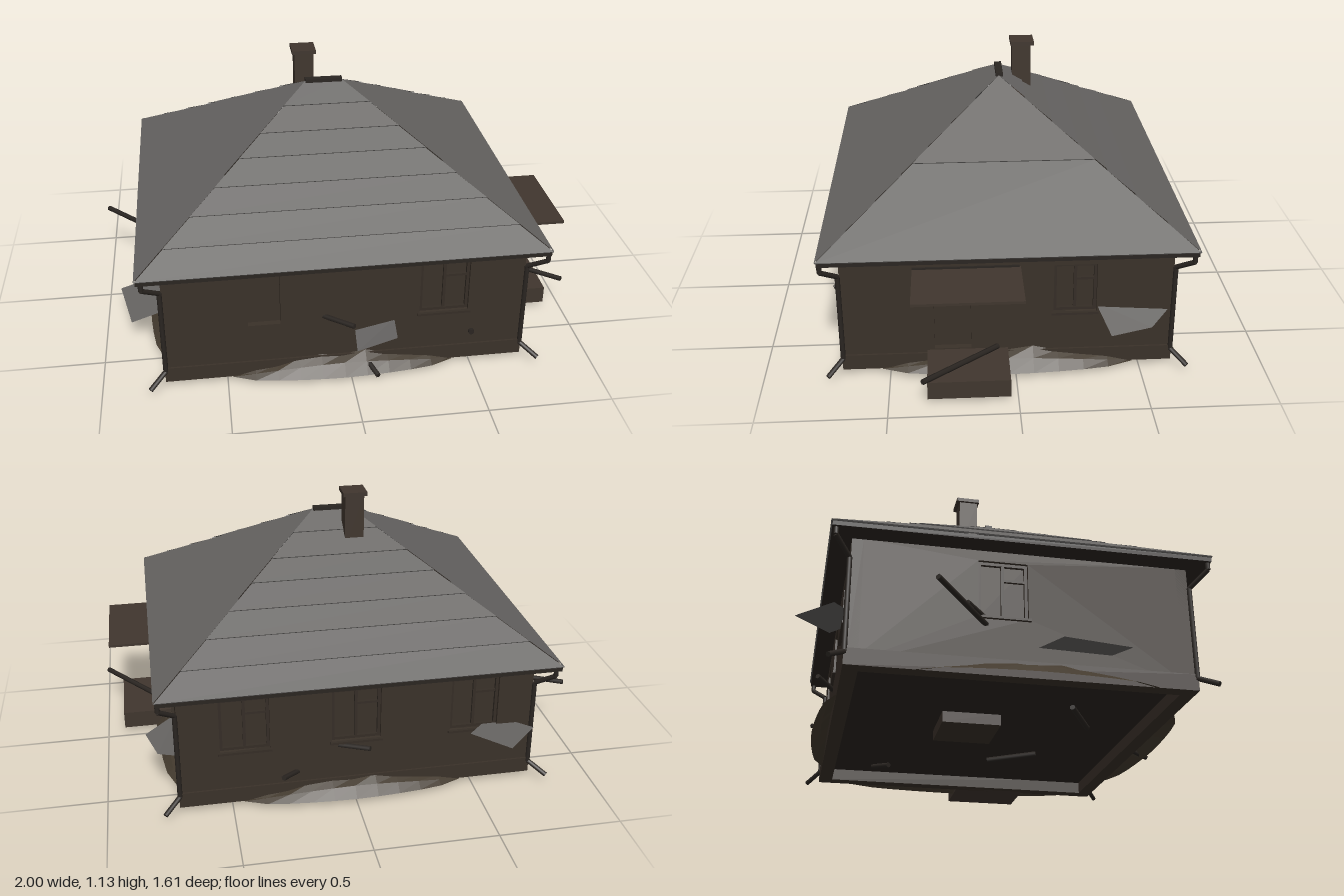
import * as THREE from 'three';

const mat = (name, color, extra = {}) => {
  const m = new THREE.MeshStandardMaterial({ color, ...extra });
  m.name = name;
  return m;
};
const V = (x, y, z) => new THREE.Vector3(x, y, z);

export function createModel() {
  const root = new THREE.Group();
  root.name = 'oldHouse';
  const wallMat = mat('wall', 0x3a3129);
  const trimMat = mat('trim', 0x352d26);
  const darkMat = mat('darkWood', 0x2a2521);
  const canopyMat = mat('canopyBoard', 0x40362e);
  const earthMat = mat('earth', 0x433a2e, { side: THREE.DoubleSide, flatShading: true });
  const roofMat = mat('roofSheet', 0x666462, { side: THREE.DoubleSide, flatShading: true });

  const add = (parent, name, geo, m) => {
    const mesh = new THREE.Mesh(geo, m);
    mesh.name = name;
    parent.add(mesh);
    return mesh;
  };
  // Box given by its minimum and maximum corners
  const box = (parent, name, m, a, b) =>
    add(parent, name, new THREE.BoxGeometry(b[0] - a[0], b[1] - a[1], b[2] - a[2]), m)
      .position.set((a[0] + b[0]) / 2, (a[1] + b[1]) / 2, (a[2] + b[2]) / 2);
  // Straight bar between two points
  const bar = (name, m, a, b, r, sides = 6) => {
    const p = V(...a), q = V(...b), d = q.clone().sub(p);
    const mesh = add(root, name, new THREE.CylinderGeometry(r, r, d.length(), sides), m);
    mesh.position.copy(p).add(q).multiplyScalar(0.5);
    mesh.quaternion.setFromUnitVectors(V(0, 1, 0), d.normalize());
  };
  // Quads, each a list of four corners
  const quads = (list) => {
    const pos = [];
    for (const [a, b, c, d] of list)
      for (const p of [a, b, c, a, c, d]) pos.push(p.x, p.y, p.z);
    const g = new THREE.BufferGeometry();
    g.setAttribute('position', new THREE.Float32BufferAttribute(pos, 3));
    g.computeVertexNormals();
    return g;
  };

  const base = 0.025, top = 0.54, cx = -0.0175, cz = 0.03, halfX = 0.7225, halfZ = 0.65;

  // Heap of soil leaning on a wall
  const mound = (parent, u, half, h) => {
    const n = 10, list = [], row = (i) => {
      const t = (i / n) * 2 - 1, f = 1 - Math.pow(Math.abs(t), 1.6);
      const wob = 1 + 0.15 * Math.sin(i * 2.3);
      const x = u + t * half;
      return [V(x, base + h * f * wob, 0), V(x, base + h * f * 0.65, 0.04 * Math.sqrt(f)),
        V(x, base, 0.012 + 0.066 * Math.sqrt(f))];
    };
    for (let i = 0; i < n; i++) {
      const p = row(i), q = row(i + 1);
      for (let k = 0; k < 2; k++) list.push([p[k + 1], q[k + 1], q[k], p[k]]);
    }
    add(parent, 'earthMound', quads(list), earthMat);
  };

  // A wall with openings [u, width, y0, y1, kind], seen from outside
  const wall = (name, half, pos, angle, openings, heap) => {
    const g = new THREE.Group();
    g.name = name;
    g.position.set(...pos);
    g.rotation.y = angle;
    root.add(g);
    const s = new THREE.Shape([[-half, base], [half, base], [half, top], [-half, top]]
      .map((p) => new THREE.Vector2(...p)));
    for (const [u, w, y0, y1, kind] of openings) {
      const l = u - w / 2, r = u + w / 2;
      s.holes.push(new THREE.Path([[l, y0], [l, y1], [r, y1], [r, y0]]
        .map((p) => new THREE.Vector2(...p))));
      box(g, kind === 'door' ? 'doorLeaf' : 'windowPane', wallMat, [l, y0, -0.045], [r, y1, -0.025]);
      if (kind !== 'window') continue;
      const t = 0.012;
      box(g, 'frameLeft', trimMat, [l, y0, -0.03], [l + t, y1, -0.012]);
      box(g, 'frameRight', trimMat, [r - t, y0, -0.03], [r, y1, -0.012]);
      box(g, 'frameTop', trimMat, [l, y1 - t, -0.03], [r, y1, -0.012]);
      box(g, 'frameBottom', trimMat, [l, y0, -0.03], [r, y0 + t, -0.012]);
      box(g, 'mullion', trimMat, [u - t / 2, y0, -0.03], [u + t / 2, y1, -0.014]);
      box(g, 'transom', trimMat, [u, y1 - 0.075, -0.03], [r, y1 - 0.065, -0.014]);
      box(g, 'sill', trimMat, [l - 0.008, y0 - 0.01, -0.02], [r + 0.008, y0, 0.012]);
    }
    const geo = new THREE.ExtrudeGeometry(s, { depth: 0.045, bevelEnabled: false });
    geo.translate(0, 0, -0.045);
    add(g, 'wallPanel', geo, wallMat);
    box(g, 'plinth', wallMat, [-half - 0.008, base, -0.05], [half + 0.008, 0.09, 0.008]);
    mound(g, ...heap);
  };
  wall('frontWall', halfX, [cx, 0, cz + halfZ], 0,
    [[-0.328, 0.13, 0.26, 0.49, 'boarded'], [0.398, 0.2, 0.26, 0.49, 'window']], [-0.01, 0.45, 0.07]);
  wall('rightWall', halfZ, [cx + halfX, 0, cz], Math.PI / 2,
    [[-0.218, 0.145, 0.105, 0.41, 'door'], [0.265, 0.17, 0.26, 0.47, 'window']], [0.0, 0.5, 0.075]);
  wall('backWall', halfX, [cx, 0, cz - halfZ], Math.PI,
    [-0.46, -0.01, 0.48].map((u) => [u, 0.2, 0.26, 0.49, 'window']), [-0.02, 0.45, 0.06]);
  wall('leftWall', halfZ, [cx - halfX, 0, cz], -Math.PI / 2,
    [[-0.08, 0.19, 0.26, 0.49, 'window']], [0.05, 0.45, 0.06]);

  // Floor and stove footing under the house
  box(root, 'floor', darkMat, [-0.72, 0.075, -0.6], [0.69, 0.085, 0.66]);
  box(root, 'stoveFooting', wallMat, [-0.22, 0.03, -0.19], [0.02, 0.08, 0.05]);

  // Hipped roof laid in overlapping courses
  const e = { l: -0.83, r: 0.785, f: 0.755, b: -0.7, y: 0.55 };
  const fl = V(e.l, e.y, e.f), fr = V(e.r, e.y, e.f), bl = V(e.l, e.y, e.b), br = V(e.r, e.y, e.b);
  const rl = V(-0.1, 1.02, 0.03), rr = V(0.055, 1.02, 0.03);
  const slope = (name, a, b, c, d, steps) => {
    const n = b.clone().sub(a).cross(d.clone().sub(a)).normalize().multiplyScalar(0.005);
    const list = [];
    for (let i = 0; i < steps.length - 1; i++) {
      const at = (p, q, t) => p.clone().lerp(q, t);
      const a0 = at(a, d, steps[i]), b0 = at(b, c, steps[i]);
      const a1 = a0.clone().add(n), b1 = b0.clone().add(n);
      list.push([a0, b0, b1, a1], [a1, b1, at(b, c, steps[i + 1]), at(a, d, steps[i + 1])]);
    }
    add(root, name, quads(list), roofMat);
  };
  const courses = [0, 0.15, 0.3, 0.44, 0.585, 0.715, 0.86, 1];
  slope('frontRoof', fl, fr, rr, rl, courses);
  slope('backRoof', br, bl, rl, rr, courses);
  slope('rightRoof', fr, br, rr, rr, [0, 0.5, 1]);
  slope('leftRoof', bl, fl, rl, rl, [0, 0.5, 1]);
  box(root, 'eavesBoard', darkMat, [e.l + 0.003, 0.532, e.b + 0.003], [e.r - 0.003, 0.549, e.f - 0.003]);
  box(root, 'ridgeCap', darkMat, [-0.1, 1.015, 0.013], [0.055, 1.03, 0.043]);

  // Chimney
  box(root, 'chimneyStack', canopyMat, [-0.137, 0.88, -0.112], [-0.057, 1.118, -0.033]);
  box(root, 'chimneyCap', canopyMat, [-0.148, 1.116, -0.125], [-0.047, 1.132, -0.025]);

  // Entrance canopy and step
  box(root, 'doorCanopy', canopyMat, [0.69, 0.46, -0.02], [0.96, 0.471, 0.4]);
  box(root, 'doorStep', canopyMat, [0.69, base, 0.03], [0.925, 0.1, 0.35]);

  // Drainpipes at the four corners
  for (const sx of [-1, 1]) for (const sz of [-1, 1]) {
    const ex = cx + sx * 0.79, ez = cz + sz * 0.712;
    const wx = cx + sx * (halfX + 0.005), wz = cz + sz * (halfZ + 0.005);
    const path = [[ex, 0.535, ez], [ex, 0.505, ez], [wx, 0.45, wz], [wx, 0.075, wz], [ex, 0.033, ez]];
    for (let i = 0; i < 4; i++) bar('drainpipe', darkMat, path[i], path[i + 1], 0.01, 8);
  }

  // Loose boards and poles stuck around the walls
  [[[-1.0, 0.268, -0.335], [-0.68, 0.222, -0.07]],
    [[-0.82, 0.27, -0.2], [-0.7, 0.262, -0.1]],
    [[0.99, 0.152, 0.365], [0.71, 0.112, 0.07]],
    [[0.0, 0.292, 0.78], [-0.12, 0.274, 0.66]],
    [[0.1, 0.04, 0.78], [0.05, 0.068, 0.66]],
    [[-0.05, 0.255, -0.69], [0.08, 0.235, -0.6]],
    [[0.3, 0.158, -0.69], [0.22, 0.128, -0.6]],
    [[0.34, 0.012, -0.34], [0.45, 0.035, -0.4]],
    [[-0.4, 0.06, 0.3], [-0.2, 0.05, 0.42]],
    [[0.2, 0.06, 0.3], [0.3, 0.05, 0.1]]]
    .forEach(([a, b]) => bar('loosePole', darkMat, a, b, 0.011));
  bar('wallVent', darkMat, [0.5, 0.15, 0.66], [0.5, 0.15, 0.692], 0.012, 10);
  box(root, 'doorRail', darkMat, [0.7, 0.468, -0.015], [0.712, 0.478, 0.4]);

  // Fallen roofing sheets
  [[[-0.94, 0.11, 0.12], [-0.885, 0.115, 0.39], [-0.7, 0.15, 0.35], [-0.74, 0.15, 0.08]],
    [[0.69, 0.285, -0.32], [0.83, 0.22, -0.365], [0.785, 0.225, -0.53], [0.69, 0.262, -0.62]],
    [[-0.6, 0.265, -0.805], [-0.47, 0.265, -0.67], [-0.6, 0.268, -0.55], [-0.74, 0.265, -0.67]],
    [[0.01, 0.185, 0.8], [0.17, 0.23, 0.795], [0.18, 0.235, 0.67], [0.02, 0.2, 0.67]]]
    .forEach((c) => add(root, 'looseSheet', quads([c.map((p) => V(...p))]), roofMat));

  return root;
}
